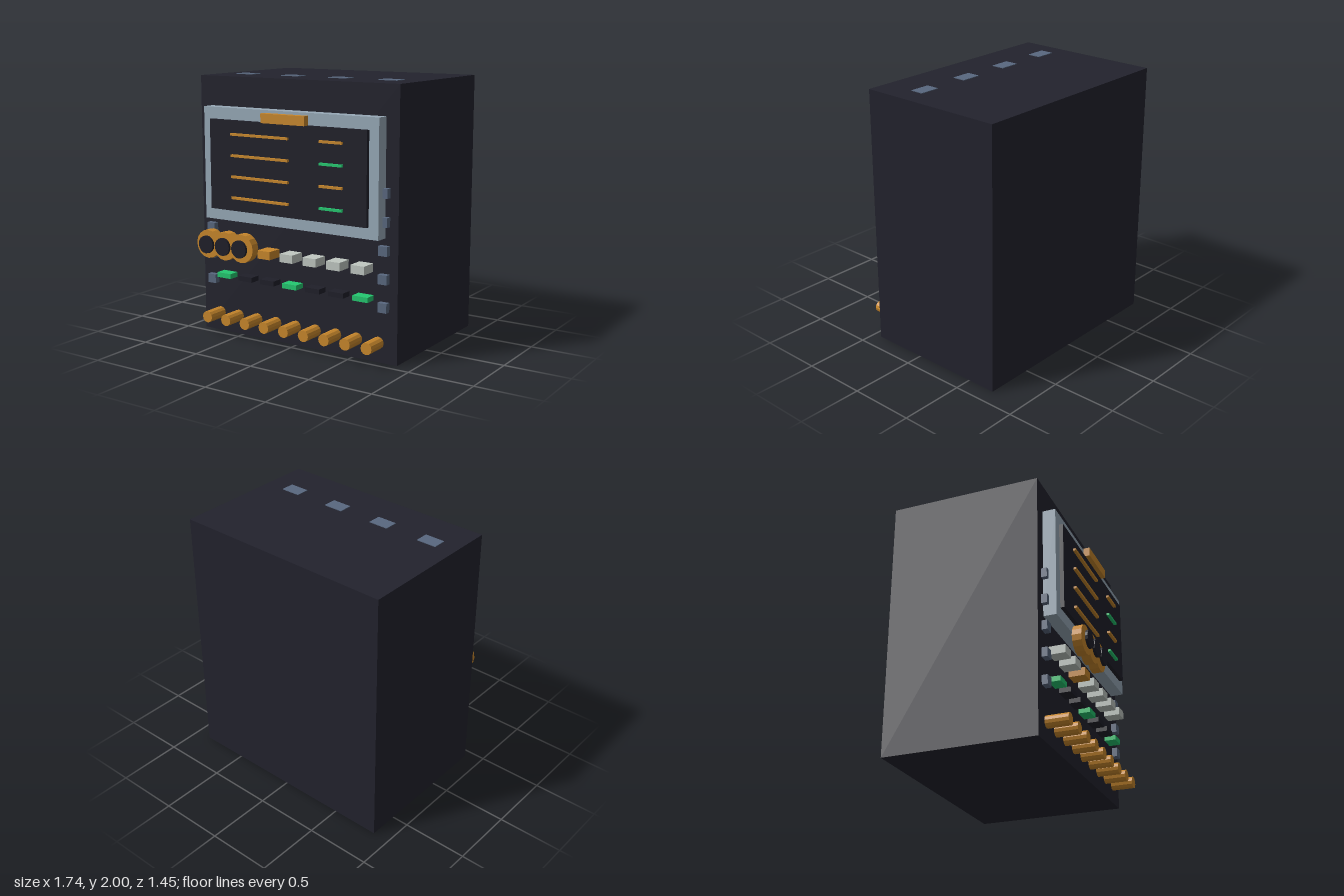
import * as THREE from 'three';

const material = (name, color) => {
  const m = new THREE.MeshStandardMaterial({ color });
  m.name = name;
  return m;
};

export function createModel() {
  const model = new THREE.Group();
  model.name = 'controlCabinet';

  const dark = material('darkCasing', 0x22222d);
  const black = material('blackPanel', 0x1f1f29);
  const frameGrey = material('frameGrey', 0x98aab8);
  const steel = material('steelBlue', 0x59687f);
  const orange = material('amber', 0xc9882c);
  const green = material('green', 0x24c870);
  const pale = material('paleGrey', 0xc0c8c2);

  const add = (name, geometry, mat, x, y, z) => {
    const mesh = new THREE.Mesh(geometry, mat);
    mesh.name = name;
    mesh.position.set(x, y, z);
    model.add(mesh);
  };
  // Box given by centre x, y and its back and front z
  const box = (name, mat, x, y, w, h, z0, z1) =>
    add(name, new THREE.BoxGeometry(w, h, z1 - z0), mat, x, y, (z0 + z1) / 2);
  // Faceted cylinder pointing forward
  const cylinder = (name, mat, x, y, r, z0, z1, sides) => {
    const g = new THREE.CylinderGeometry(r, r, z1 - z0, sides).rotateX(Math.PI / 2).toNonIndexed();
    g.computeVertexNormals();
    add(name, g, mat, x, y, (z0 + z1) / 2);
  };

  // Cabinet, screen frame, screen and top handle
  box('cabinet', dark, 0, 0.9975, 1.74, 1.995, -0.726, 0.432);
  box('screenFrame', frameGrey, 0, 1.343, 1.53, 0.855, 0.43, 0.53);
  box('screen', black, 0, 1.342, 1.374, 0.68, 0.5, 0.56);
  box('screenHandle', orange, 0, 1.717, 0.38, 0.07, 0.545, 0.595);

  // Readout lines on the screen
  for (let i = 0; i < 4; i++) {
    const y = 1.58 - i * 0.159;
    box('longReadout', orange, -0.222, y, 0.513, 0.018, 0.558, 0.582);
    box('shortReadout', i % 2 ? green : orange, 0.4, y, 0.19, 0.018, 0.558, 0.582);
  }

  // Three dials with dark faces
  for (let i = 0; i < 3; i++) {
    const x = -0.617 + i * 0.154;
    cylinder('dial', orange, x, 0.755, 0.108, 0.623, 0.692, 16);
    cylinder('dialFace', black, x, 0.755, 0.067, 0.704, 0.724, 16);
  }

  // Push buttons and the indicator lamps below them
  for (let i = 0; i < 7; i++) {
    const x = (i - 3) * 0.204;
    box('button', i === 2 ? orange : pale, x, 0.693, 0.113, 0.062, 0.43, 0.557);
    box('indicator', i % 3 ? black : green, x, 0.473, 0.126, 0.038, 0.43, 0.52);
  }

  // Row of pegs along the bottom
  for (let i = 0; i < 9; i++) {
    cylinder('peg', orange, (i - 4) * 0.179, 0.147, 0.045, 0.43, 0.603, 12);
  }

  // Side brackets on the front face
  for (const side of [-1, 1]) {
    for (let i = 0; i < 5; i++) {
      box('bracket', steel, side * 0.767, 1.24 - i * 0.205, 0.072, 0.07, 0.43, 0.475);
    }
  }

  // Vent plates on the roof
  for (const x of [-0.65, -0.225, 0.2, 0.625]) {
    box('roofVent', steel, x, 1.996, 0.157, 0.008, 0.072, 0.176);
  }

  return model;
}
